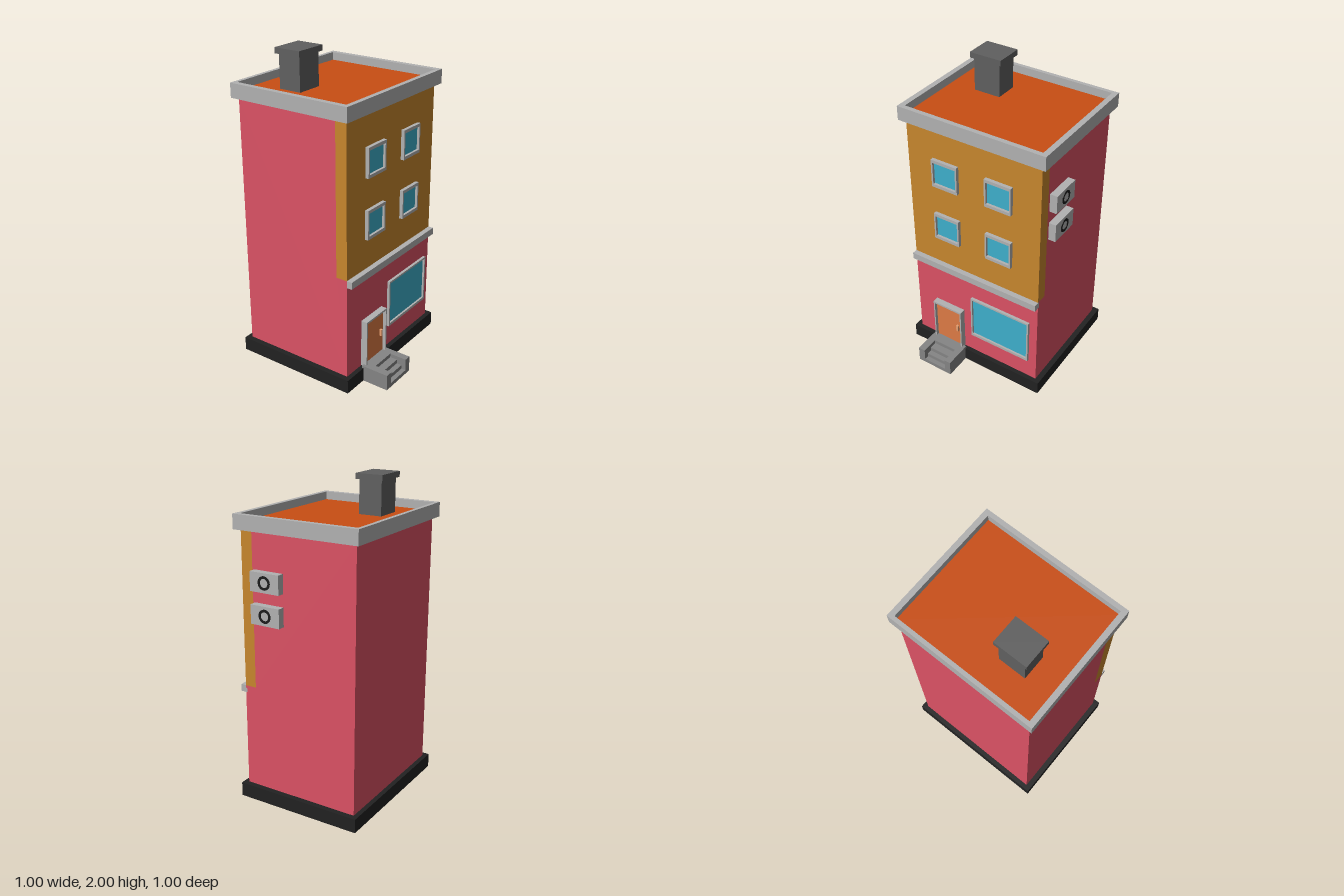
import * as THREE from 'three';

const mat = (color) => new THREE.MeshStandardMaterial({ color, flatShading: true });
const M = {
  wall: mat(0xdc5265), ochre: mat(0xc8872d), trim: mat(0xb2b2b2), glass: mat(0x3eb0cc),
  base: mat(0x222222), roof: mat(0xc94e14), chimney: mat(0x606060), steps: mat(0x858585),
  door: mat(0xdf7b45), handle: mat(0xe8a070), fan: mat(0x1c1c1c),
};

function add(parent, name, geometry, material) {
  const mesh = new THREE.Mesh(geometry, material);
  mesh.name = name;
  parent.add(mesh);
  return mesh;
}

// Box given by its minimum and maximum on each axis
function box(parent, name, [x0, x1], [y0, y1], [z0, z1], material) {
  const mesh = add(parent, name, new THREE.BoxGeometry(x1 - x0, y1 - y0, z1 - z0), material);
  mesh.position.set((x0 + x1) / 2, (y0 + y1) / 2, (z0 + z1) / 2);
  return mesh;
}

function rect(Type, x0, x1, y0, y1) {
  return new Type([[x0, y0], [x1, y0], [x1, y1], [x0, y1]].map((p) => new THREE.Vector2(...p)));
}

// Rectangular ring extruded along z
function frameGeometry(outer, inner, depth) {
  const shape = rect(THREE.Shape, ...outer);
  shape.holes.push(rect(THREE.Path, ...inner));
  return new THREE.ExtrudeGeometry(shape, { depth, bevelEnabled: false });
}

// Side profile of [z, y] points, extruded across x
function profile(parent, name, points, [x0, x1], material) {
  const shape = new THREE.Shape(points.map(([z, y]) => new THREE.Vector2(-z, y)));
  const geo = new THREE.ExtrudeGeometry(shape, { depth: x1 - x0, bevelEnabled: false });
  geo.rotateY(Math.PI / 2);
  return add(parent, name, geo.translate(x0, 0, 0), material);
}

const FRONT = 0.3;
const WIDTH = [-0.465, 0.45];

// Framed pane on the front wall; side, bottom and top are frame thicknesses
function framed(parent, name, [x0, x1], [y0, y1], [side, bottom, top], depth, paneDepth, paneName, paneMaterial) {
  const group = new THREE.Group();
  group.name = name;
  const inner = [x0 + side, x1 - side, y0 + bottom, y1 - top];
  add(group, 'frame', frameGeometry([x0, x1, y0, y1], inner, depth), M.trim).position.z = FRONT;
  box(group, paneName, [inner[0], inner[1]], [inner[2], inner[3]], [FRONT - 0.01, FRONT + paneDepth], paneMaterial);
  parent.add(group);
  return group;
}

export function createModel() {
  const house = new THREE.Group();
  house.name = 'townHouse';

  // Plinth, body with a stepped-back upper front, and the upper facade filling that step
  box(house, 'plinth', [-0.5, 0.485], [0, 0.09], [-0.5, 0.33], M.base);
  profile(house, 'walls', [[-0.47, 0.09], [FRONT, 0.09], [FRONT, 0.75], [0.225, 0.75], [0.225, 1.72], [-0.47, 1.72]], WIDTH, M.wall);
  box(house, 'upperFacade', WIDTH, [0.75, 1.72], [0.225, FRONT], M.ochre);
  box(house, 'facadeBand', WIDTH, [0.705, 0.75], [FRONT - 0.01, 0.335], M.trim);

  // Roof and parapet
  box(house, 'roof', WIDTH, [1.72, 1.755], [-0.475, FRONT], M.roof);
  const parapet = frameGeometry([-0.5, 0.485, -0.33, 0.5], [-0.465, 0.45, -0.3, 0.475], 0.09);
  parapet.rotateX(-Math.PI / 2);
  add(house, 'parapet', parapet, M.trim).position.y = 1.715;

  // Chimney
  box(house, 'chimneyShaft', [-0.295, -0.12], [1.75, 1.965], [-0.3, -0.15], M.chimney);
  box(house, 'chimneyCap', [-0.315, -0.1], [1.965, 2], [-0.315, -0.135], M.chimney);

  // Windows
  for (const x of [-0.285, 0.085])
    for (const y of [0.945, 1.33])
      framed(house, 'upperWindow', [x, x + 0.18], [y, y + 0.187], [0.011, 0.02, 0.02], 0.023, 0.007, 'glass', M.glass);
  framed(house, 'shopWindow', [-0.035, 0.395], [0.235, 0.555], [0.011, 0.018, 0.012], 0.018, 0.005, 'glass', M.glass);

  // Door
  const door = framed(house, 'door', [-0.317, -0.1], [0.092, 0.41], [0.009, 0.009, 0.013], 0.042, 0.02, 'doorLeaf', M.door);
  box(door, 'handle', [-0.146, -0.132], [0.225, 0.27], [FRONT + 0.015, FRONT + 0.035], M.handle);

  // Entrance steps between two side walls
  const stairs = new THREE.Group();
  stairs.name = 'entranceSteps';
  for (const x of [[-0.335, -0.288], [-0.124, -0.08]])
    box(stairs, 'sideWall', x, [0, 0.105], [0.32, 0.505], M.steps);
  profile(stairs, 'treads', [[0.32, 0], [0.505, 0], [0.505, 0.027], [0.475, 0.027], [0.475, 0.053],
    [0.44, 0.053], [0.44, 0.08], [0.39, 0.08], [0.39, 0.105], [0.32, 0.105]], [-0.288, -0.124], M.steps);
  house.add(stairs);

  // Air conditioners on the left wall
  for (const y of [1.232, 1.43]) {
    const unit = new THREE.Group();
    unit.name = 'airConditioner';
    box(unit, 'casing', [0.44, 0.497], [y - 0.059, y + 0.059], [0.01, 0.21], M.trim);
    const ring = new THREE.Shape().absarc(0, 0, 0.042, 0, Math.PI * 2);
    ring.holes.push(new THREE.Path().absarc(0, 0, 0.027, 0, Math.PI * 2, true));
    const geo = new THREE.ExtrudeGeometry(ring, { depth: 0.004, bevelEnabled: false, curveSegments: 16 });
    add(unit, 'fanRing', geo.rotateY(Math.PI / 2), M.fan).position.set(0.496, y, 0.11);
    house.add(unit);
  }
  return house;
}
